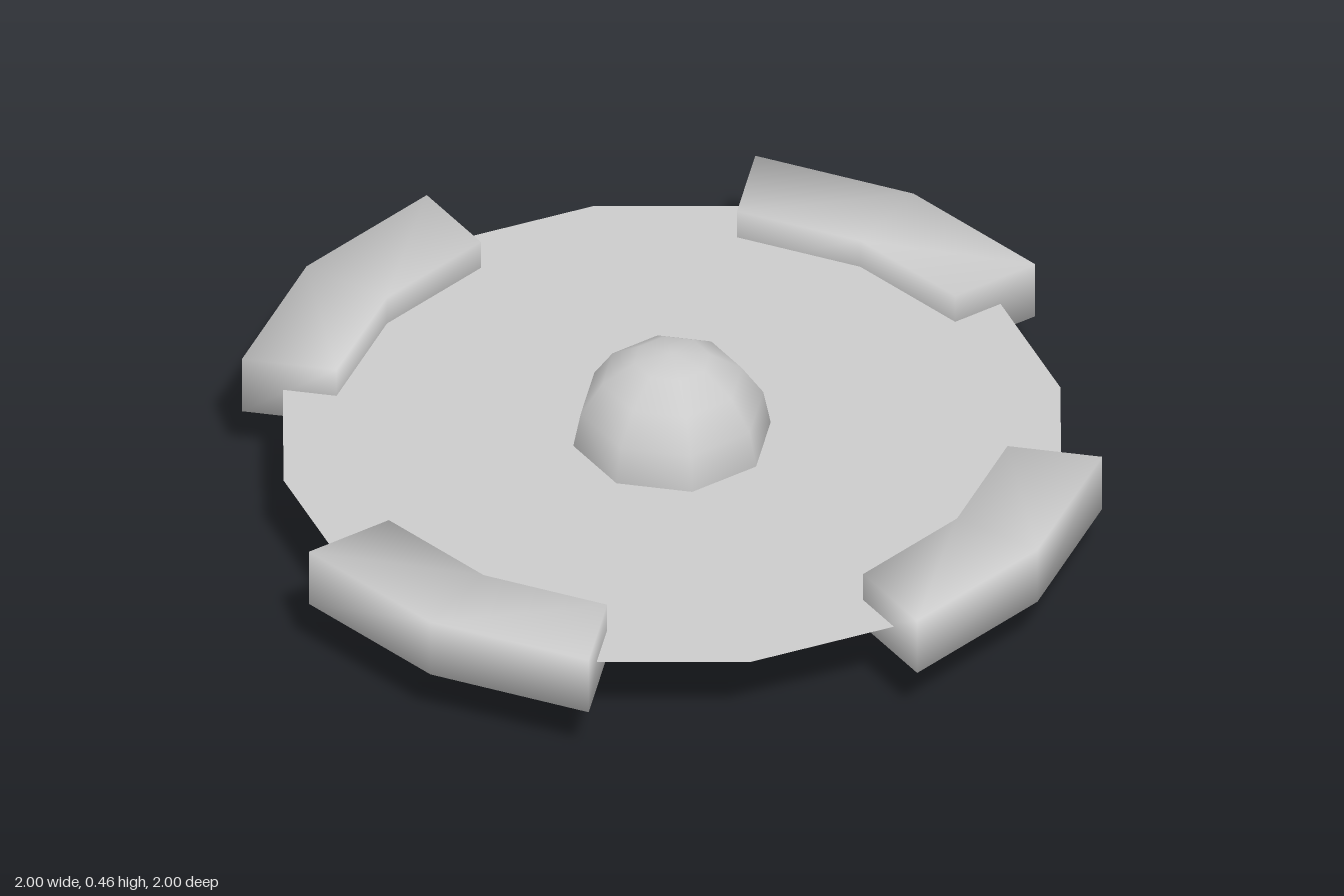
import * as THREE from 'three';
import { mergeVertices } from 'three/addons/utils/BufferGeometryUtils.js';

const HUB_RADIUS = 0.23, DISC_RADIUS = 0.905;
const RIM_INNER = 0.78, RIM_OUTER = 1.0, RIM_HEIGHT = 0.147;

// A box bent around the y axis: its x is the angle, its z the radial offset.
// Corners are welded so the shading runs smoothly over every edge.
function bentBlock() {
  const box = new THREE.BoxGeometry(Math.PI / 4, RIM_HEIGHT, RIM_OUTER - RIM_INNER, 2, 1, 1);
  box.deleteAttribute('normal');
  box.deleteAttribute('uv');
  const geometry = mergeVertices(box);
  const p = geometry.attributes.position;
  for (let i = 0; i < p.count; i++) {
    const angle = p.getX(i), r = (RIM_INNER + RIM_OUTER) / 2 + p.getZ(i);
    p.setXYZ(i, r * Math.sin(angle), p.getY(i), r * Math.cos(angle));
  }
  geometry.computeVertexNormals();
  return geometry;
}

export function createModel() {
  const model = new THREE.Group();
  const grey = new THREE.MeshStandardMaterial({ color: 0xcccccc });
  const thinGrey = new THREE.MeshStandardMaterial({ color: 0xcccccc, side: THREE.DoubleSide });

  const add = (name, geometry, material) => {
    const mesh = new THREE.Mesh(geometry, material);
    mesh.name = name;
    mesh.position.y = HUB_RADIUS;
    model.add(mesh);
    return mesh;
  };

  // Central ball
  add('hub', new THREE.SphereGeometry(HUB_RADIUS, 8, 8), grey);

  // Paper-thin disc through the middle of the ball
  add('disc', new THREE.CircleGeometry(DISC_RADIUS, 16).rotateX(-Math.PI / 2), thinGrey);

  // Four curved blocks spaced around the rim
  const block = bentBlock();
  ['front', 'left', 'back', 'right'].forEach((side, i) => {
    add(side + 'RimBlock', block, grey).rotation.y = i * Math.PI / 2;
  });

  return model;
}
